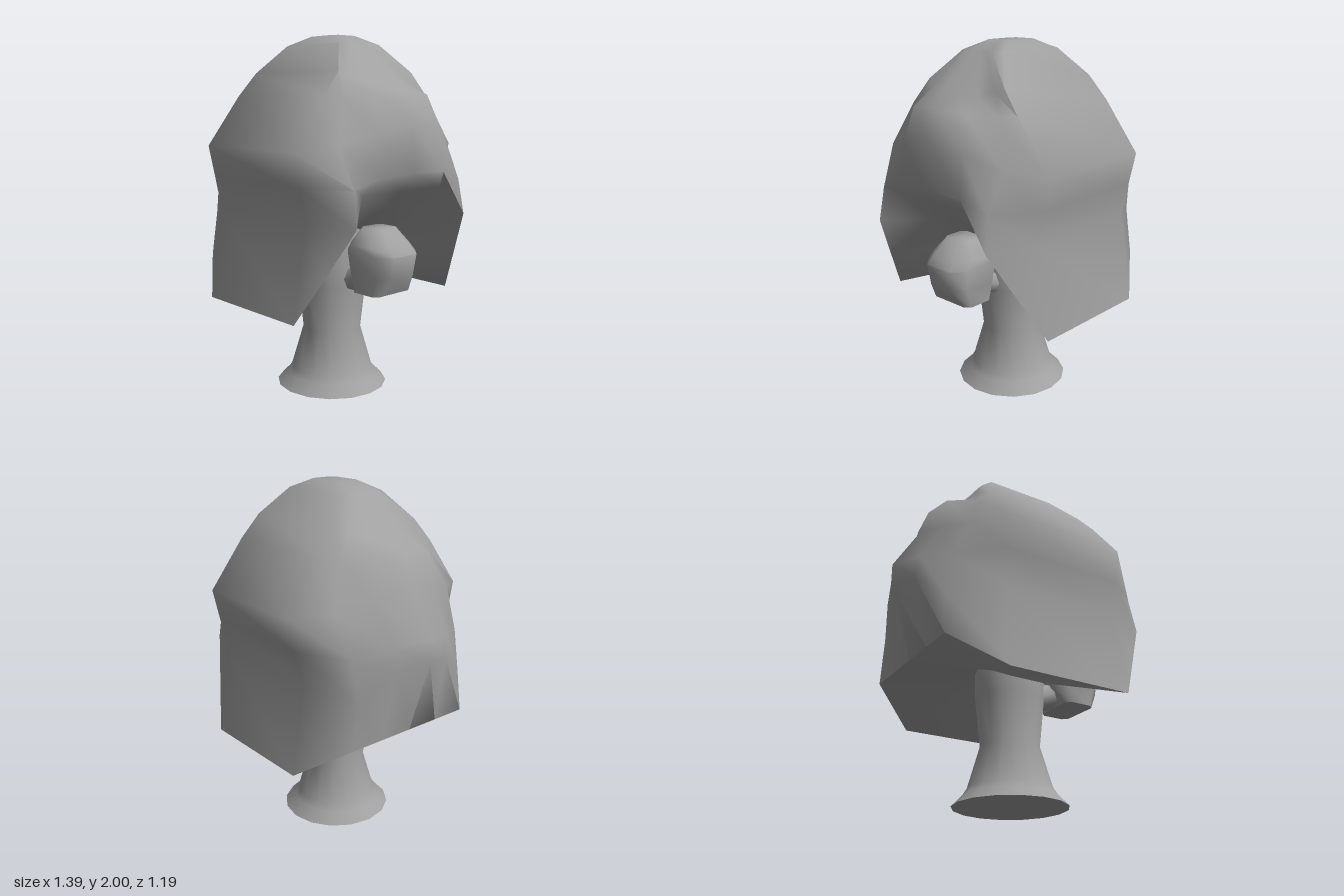
import * as THREE from 'three';
import { toCreasedNormals } from 'three/addons/utils/BufferGeometryUtils.js';

// Skin closed loops (listed from top to bottom, each running +x, +z, -x, -z) and cap both ends.
function loft(rings, topCentre, bottomCentre, crease) {
  const n = rings[0].length;
  const last = (rings.length - 1) * n;
  const pos = rings.flat(2);
  const top = rings.length * n;
  pos.push(...topCentre, ...bottomCentre);
  const index = [];
  for (let j = 0; j < n; j++) {
    const k = (j + 1) % n;
    for (let i = 0; i < rings.length - 1; i++) {
      const a = i * n + j, b = i * n + k, c = a + n, d = b + n;
      index.push(a, b, c, b, d, c);
    }
    index.push(top, k, j, top + 1, last + j, last + k);
  }
  const g = new THREE.BufferGeometry();
  g.setAttribute('position', new THREE.Float32BufferAttribute(pos, 3));
  g.setIndex(index);
  return toCreasedNormals(g, crease);
}

// Complete a half loop by mirroring it across z = 0.
function mirrorZ(half) {
  const back = half.slice(1, -1).reverse().map(([x, y, z]) => [x, y, -z]);
  return [...half, ...back];
}

function circle(cx, y, r, n) {
  return Array.from({ length: n }, (_, i) => {
    const a = (i / n) * Math.PI * 2;
    return [cx + r * Math.cos(a), y, r * Math.sin(a)];
  });
}

export function createModel() {
  const model = new THREE.Group();
  const grey = new THREE.MeshStandardMaterial({ color: 0xa0a0a0 });
  grey.name = 'plain grey';

  const add = (name, geometry) => {
    const mesh = new THREE.Mesh(geometry, grey);
    mesh.name = name;
    model.add(mesh);
  };

  // Trunk: flared foot, narrow waist, wider crown hidden in the foliage
  const trunkProfile = [[0.18, 0.93], [0.2, 0.75], [0.197, 0.6], [0.168, 0.33], [0.235, 0.1], [0.26, 0.06], [0.32, 0]];
  add('trunk', loft(trunkProfile.map(([r, y]) => circle(0.075, y, r, 16)),
    [0.075, 0.93, 0], [0.075, 0, 0], 1.0));

  // Canopy: half loops from the right middle, round the front, to the left middle
  const crown = [
    [[0.19, 2, 0], [0.19, 2, 0.03], [0.19, 2, 0.06], [0.16, 2, 0.08],
      [-0.01, 2, 0.08], [-0.04, 2, 0.06], [-0.04, 2, 0.03], [-0.04, 2, 0]],
    [[0.31, 1.95, 0], [0.31, 1.95, 0.05], [0.32, 1.95, 0.1], [0.29, 1.95, 0.15],
      [-0.14, 1.95, 0.15], [-0.17, 1.95, 0.1], [-0.18, 1.95, 0.05], [-0.18, 1.95, 0]],
    // valley behind the side shoulders
    [[0.48, 1.75, 0], [0.46, 1.75, 0.13], [0.43, 1.77, 0.22], [0.42, 1.8, 0.275],
      [-0.27, 1.8, 0.275], [-0.29, 1.77, 0.22], [-0.32, 1.75, 0.13], [-0.35, 1.74, 0]],
    // shoulders, notched beside the front and back slabs
    [[0.63, 1.69, 0], [0.61, 1.68, 0.19], [0.48, 1.66, 0.3], [0.44, 1.67, 0.385],
      [-0.29, 1.67, 0.385], [-0.33, 1.66, 0.3], [-0.46, 1.67, 0.19], [-0.485, 1.69, 0]],
  ];
  const skirt = [
    // widest line of the front and back
    [[0.685, 1.53, 0], [0.66, 1.49, 0.22], [0.57, 1.42, 0.41], [0.44, 1.4, 0.595],
      [-0.29, 1.4, 0.595], [-0.41, 1.42, 0.41], [-0.5, 1.46, 0.22], [-0.53, 1.54, 0]],
    [[0.7, 1.28, 0], [0.695, 1.27, 0.24], [0.67, 1.22, 0.4], [0.44, 1.22, 0.555],
      [-0.29, 1.22, 0.555], [-0.51, 1.2, 0.38], [-0.61, 1.25, 0.19], [-0.69, 1.27, 0]],
    // waist, recessed between the flaps on the branch side
    [[0.61, 1.18, 0], [0.62, 1.18, 0.3], [0.7, 1.03, 0.415], [0.44, 1.03, 0.515],
      [-0.29, 1.03, 0.515], [-0.555, 0.98, 0.37], [-0.63, 1.12, 0.18], [-0.69, 1.15, 0]],
    // lower rim, arched open on the branch side
    [[0.48, 1.07, 0], [0.5, 1.03, 0.22], [0.57, 0.78, 0.505], [0.44, 0.535, 0.595],
      [-0.29, 0.535, 0.595], [-0.555, 0.72, 0.41], [-0.555, 0.72, 0.2], [-0.555, 0.72, 0]],
    // underside around the trunk
    [[0.3, 0.96, 0], [0.32, 0.92, 0.15], [0.3, 0.82, 0.21], [0.16, 0.66, 0.22],
      [-0.05, 0.66, 0.22], [-0.15, 0.68, 0.19], [-0.2, 0.71, 0.1], [-0.22, 0.72, 0]],
  ];
  add('canopy', loft([...crown, ...skirt].map(mirrorZ), [0.075, 2, 0], [0.075, 0.88, 0], 1.25));

  // Branch
  const path = new THREE.CatmullRomCurve3([
    new THREE.Vector3(0.12, 0.63, 0), new THREE.Vector3(0.27, 0.655, 0),
    new THREE.Vector3(0.38, 0.71, 0), new THREE.Vector3(0.46, 0.82, 0)]);
  add('branch', new THREE.TubeGeometry(path, 8, 0.075, 8));

  // Small foliage clump: chamfered rectangles [y, x min, x max, half depth, chamfer]
  const clump = [
    [0.97, 0.38, 0.53, 0.08, 0.03],
    [0.88, 0.32, 0.61, 0.15, 0.07],
    [0.84, 0.3, 0.65, 0.155, 0.07],
    [0.72, 0.32, 0.63, 0.14, 0.06],
    [0.62, 0.38, 0.57, 0.143, 0.03],
  ].map(([y, x0, x1, z, c]) => [
    [x1, y, -z + c], [x1, y, z - c], [x1 - c, y, z], [x0 + c, y, z],
    [x0, y, z - c], [x0, y, -z + c], [x0 + c, y, -z], [x1 - c, y, -z]]);
  add('branchFoliage', loft(clump, [0.455, 0.97, 0], [0.475, 0.64, 0], 1.1));

  return model;
}
